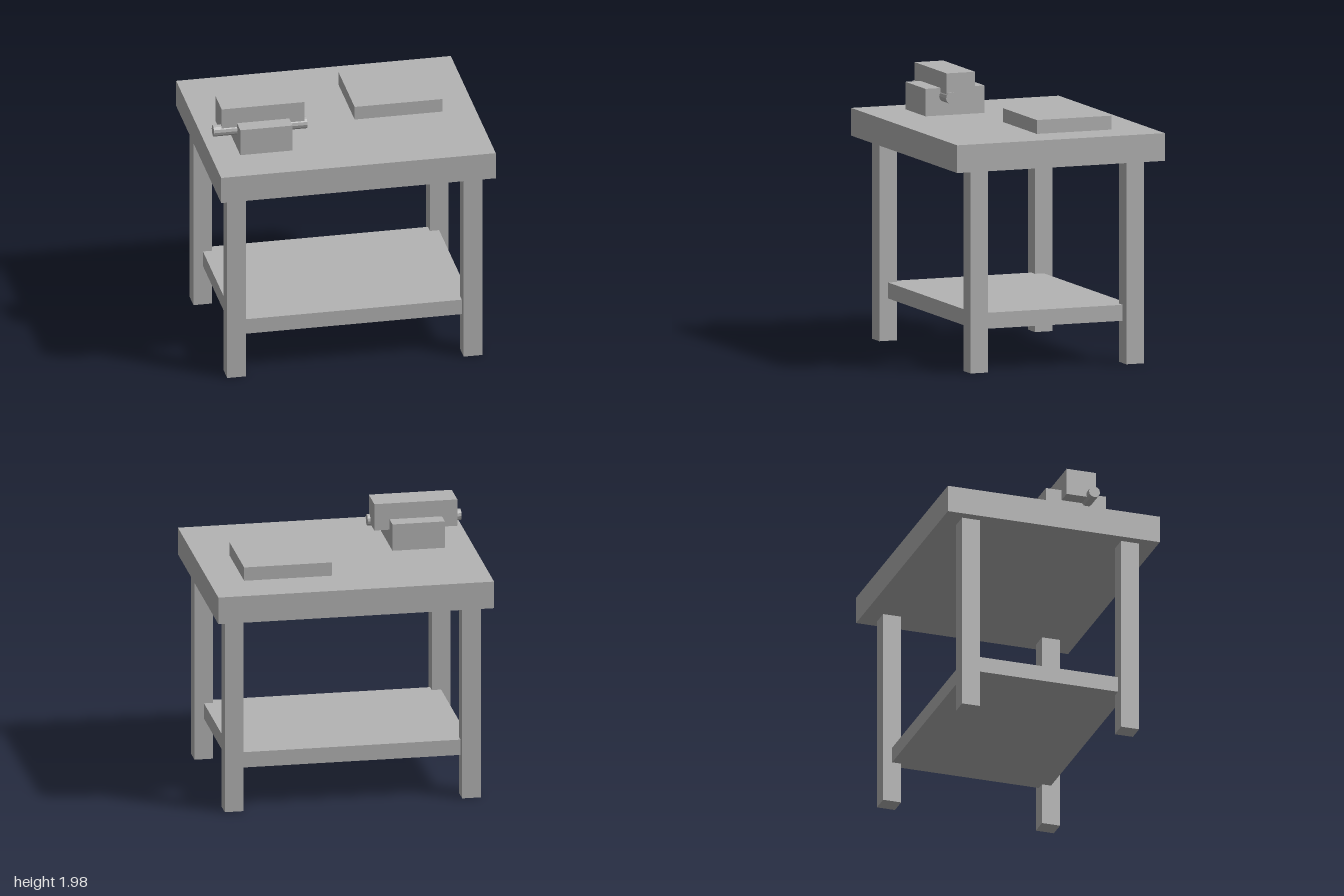
import * as THREE from 'three';

export function createModel() {
  const model = new THREE.Group();
  model.name = 'workbench';
  const grey = new THREE.MeshStandardMaterial({ color: 0xb4b4b4, flatShading: true });
  grey.name = 'plain grey';

  // Box given by its extents on each axis
  const box = (name, [x0, x1], [y0, y1], [z0, z1], parent = model) => {
    const mesh = new THREE.Mesh(new THREE.BoxGeometry(x1 - x0, y1 - y0, z1 - z0), grey);
    mesh.position.set((x0 + x1) / 2, (y0 + y1) / 2, (z0 + z1) / 2);
    mesh.name = name;
    parent.add(mesh);
    return mesh;
  };

  // Table: top, lower shelf running into the leg centres, four legs
  box('tableTop', [-1, 1], [1.462, 1.662], [-0.8, 0.8]);
  box('shelf', [-0.86, 0.86], [0.305, 0.42], [-0.6, 0.6]);
  for (const sx of [-1, 1]) {
    for (const sz of [-1, 1]) {
      const leg = box(`${sz > 0 ? 'front' : 'back'}${sx > 0 ? 'Left' : 'Right'}Leg`,
        [-0.068, 0.068], [0, 1.462], [-0.068, 0.068]);
      leg.position.x = sx * 0.861;
      leg.position.z = sz * 0.6;
    }
  }

  // Vise: base block, jaw across it, and round bar
  const vise = new THREE.Group();
  vise.name = 'vise';
  model.add(vise);
  box('viseBase', [-0.792, -0.412], [1.662, 1.86], [0.012, 0.467], vise);
  box('viseJaw', [-0.904, -0.302], [1.782, 1.98], [0.13, 0.35], vise);
  const bar = new THREE.Mesh(new THREE.CylinderGeometry(0.042, 0.042, 0.68, 12), grey);
  bar.name = 'viseBar';
  bar.rotation.z = Math.PI / 2;
  bar.position.set(-0.622, 1.802, 0.32);
  vise.add(bar);

  // Flat slab lying just above the table top
  box('slab', [0.118, 0.756], [1.672, 1.772], [-0.49, 0.087]);

  return model;
}
